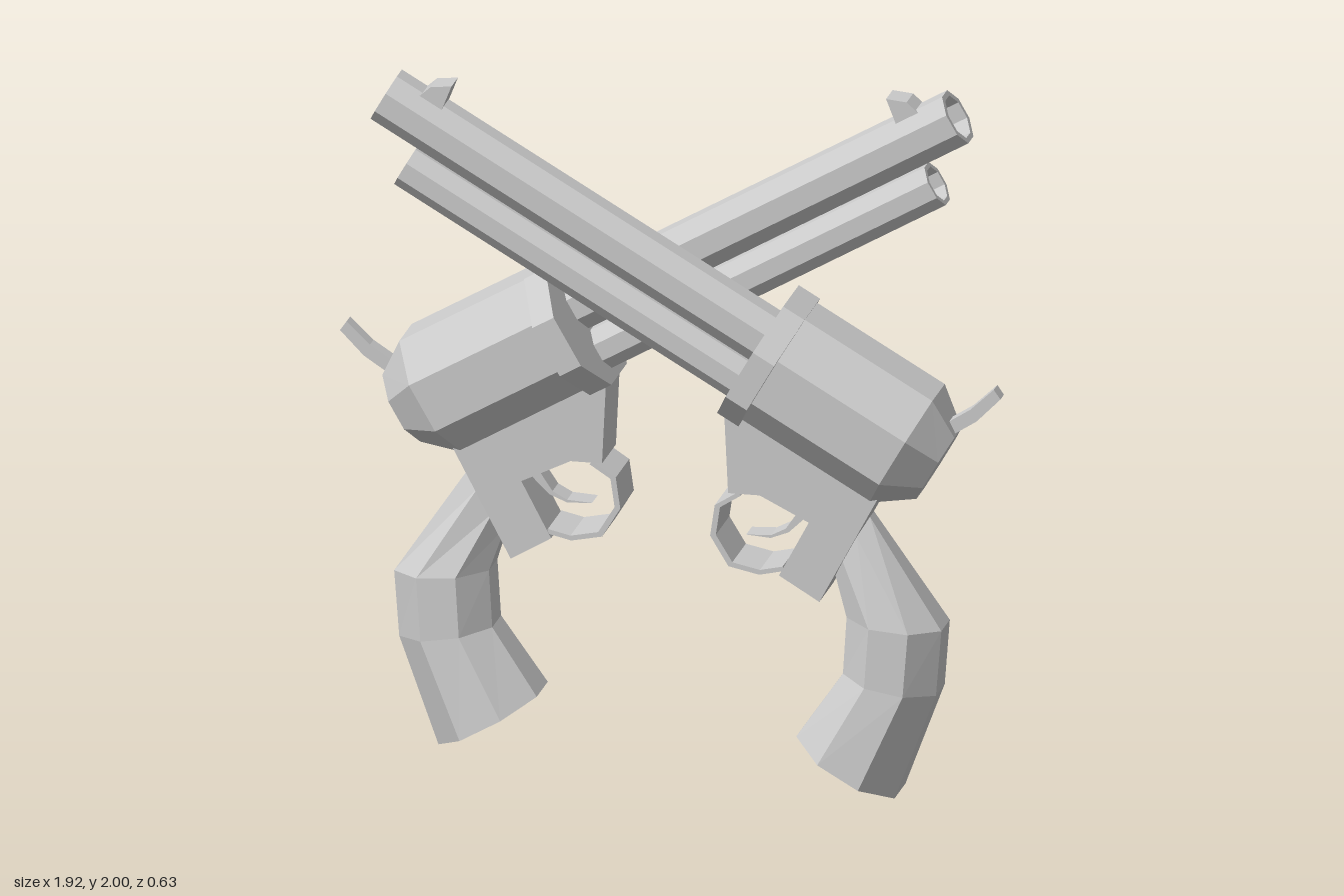
import * as THREE from 'three';

const material = new THREE.MeshStandardMaterial({ color: 0xcccccc, flatShading: true, side: THREE.DoubleSide });

function addMesh(group, name, geometry) {
  const mesh = new THREE.Mesh(geometry, material);
  mesh.name = name;
  group.add(mesh);
  return mesh;
}

// Side outline extruded evenly to both sides of the middle plane
function plate(points, halfWidth) {
  const shape = new THREE.Shape(points.map(([x, y]) => new THREE.Vector2(x, y)));
  const geometry = new THREE.ExtrudeGeometry(shape, { depth: halfWidth * 2, bevelEnabled: false });
  return geometry.translate(0, 0, -halfWidth);
}

// Octagonal loft; each section is [x0, y0, x1, y1, halfWidth] from its back flat to its front flat
function loft(sections) {
  const positions = [], index = [], n = 8;
  const grow = 1 / Math.cos(Math.PI / n);
  for (const [x0, y0, x1, y1, w] of sections) {
    const cx = (x0 + x1) / 2, cy = (y0 + y1) / 2;
    for (let k = 0; k < n; k++) {
      const t = (k + 0.5) * 2 * Math.PI / n;
      const c = Math.cos(t) * grow, s = Math.sin(t) * grow;
      positions.push(cx + (x0 - cx) * c, cy + (y0 - cy) * c, w * s);
    }
  }
  const last = (sections.length - 1) * n;
  for (let i = 0; i < last; i += n) {
    for (let k = 0; k < n; k++) {
      const a = i + k, b = i + (k + 1) % n;
      index.push(a, b, b + n, a, b + n, a + n);
    }
  }
  for (let k = 1; k < n - 1; k++) {
    index.push(0, k + 1, k, last, last + k, last + k + 1);
  }
  const geometry = new THREE.BufferGeometry();
  geometry.setAttribute('position', new THREE.Float32BufferAttribute(positions, 3));
  geometry.setIndex(index);
  geometry.computeVertexNormals();
  return geometry;
}

// Hollow octagonal tube running from startX to the open end at endX
function bore(startX, endX, y, apothem, wall) {
  const grow = 1 / Math.cos(Math.PI / 8);
  const length = startX - endX, R = apothem * grow, r = (apothem - wall) * grow;
  const profile = [[0, 0], [R, 0], [R, length], [r, length], [r, 0.05], [0, 0.05]]
    .map(([px, py]) => new THREE.Vector2(px, py));
  return new THREE.LatheGeometry(profile, 8, Math.PI / 8)
    .rotateZ(Math.PI / 2).translate(startX, y, 0);
}

// One revolver, barrel level and pointing along -x
function createRevolver() {
  const gun = new THREE.Group();

  addMesh(gun, 'barrel', bore(-0.35, -1.656, 1.278, 0.075, 0.015));
  addMesh(gun, 'lowerTube', bore(-0.35, -1.505, 1.134, 0.061, 0.013));
  addMesh(gun, 'frontSight', plate([[-1.575, 1.34], [-1.56, 1.385], [-1.512, 1.419], [-1.5, 1.34]], 0.04));

  // Drum with tapered back, and the wider collar before it
  addMesh(gun, 'collar', loft([
    [-0.405, 1.42, -0.405, 1.043, 0.23],
    [-0.335, 1.42, -0.335, 1.043, 0.23],
  ]));
  addMesh(gun, 'drum', loft([
    [-0.34, 1.413, -0.34, 1.053, 0.183],
    [0.085, 1.413, 0.085, 1.053, 0.183],
    [0.19, 1.342, 0.19, 1.126, 0.108],
  ]));
  addMesh(gun, 'hammer', plate([
    [0.15, 1.36], [0.186, 1.43], [0.212, 1.518], [0.242, 1.504], [0.218, 1.41], [0.175, 1.325],
  ], 0.022));

  // Frame under the drum
  addMesh(gun, 'frame', plate([
    [-0.395, 1.06], [-0.262, 0.853], [-0.184, 0.898], [-0.028, 0.908],
    [-0.021, 0.726], [0.113, 0.724], [0.1, 1.08],
  ], 0.085));

  // Trigger guard: an open loop with an even wall
  const outer = [[-0.24, 0.87], [-0.276, 0.8], [-0.242, 0.715], [-0.154, 0.667], [-0.069, 0.695], [-0.015, 0.745]];
  const inner = outer.map(([x, y]) => [x + (-0.12 - x) * 0.1, y + (0.83 - y) * 0.1]).reverse();
  addMesh(gun, 'triggerGuard', plate([...outer, ...inner], 0.083));
  addMesh(gun, 'trigger', plate([
    [-0.04, 0.91], [-0.063, 0.83], [-0.097, 0.787], [-0.16, 0.756], [-0.1, 0.795], [-0.075, 0.835], [-0.07, 0.91],
  ], 0.035));

  // Curved handle
  addMesh(gun, 'grip', loft([
    [0.106, 0.997, 0.104, 0.799, 0.06],
    [0.443, 0.833, 0.199, 0.715, 0.125],
    [0.525, 0.661, 0.273, 0.567, 0.13],
    [0.578, 0.339, 0.255, 0.338, 0.163],
  ]));
  return gun;
}

export function createModel() {
  const model = new THREE.Group();
  model.name = 'crossedRevolvers';
  // Two tilted revolvers, the second turned half way round
  ['frontRevolver', 'backRevolver'].forEach((name, i) => {
    const gun = createRevolver();
    gun.rotation.z = -Math.PI / 6;
    gun.position.z = 0.085;
    const holder = new THREE.Group();
    holder.name = name;
    holder.rotation.y = i * Math.PI;
    holder.add(gun);
    model.add(holder);
  });
  return model;
}
